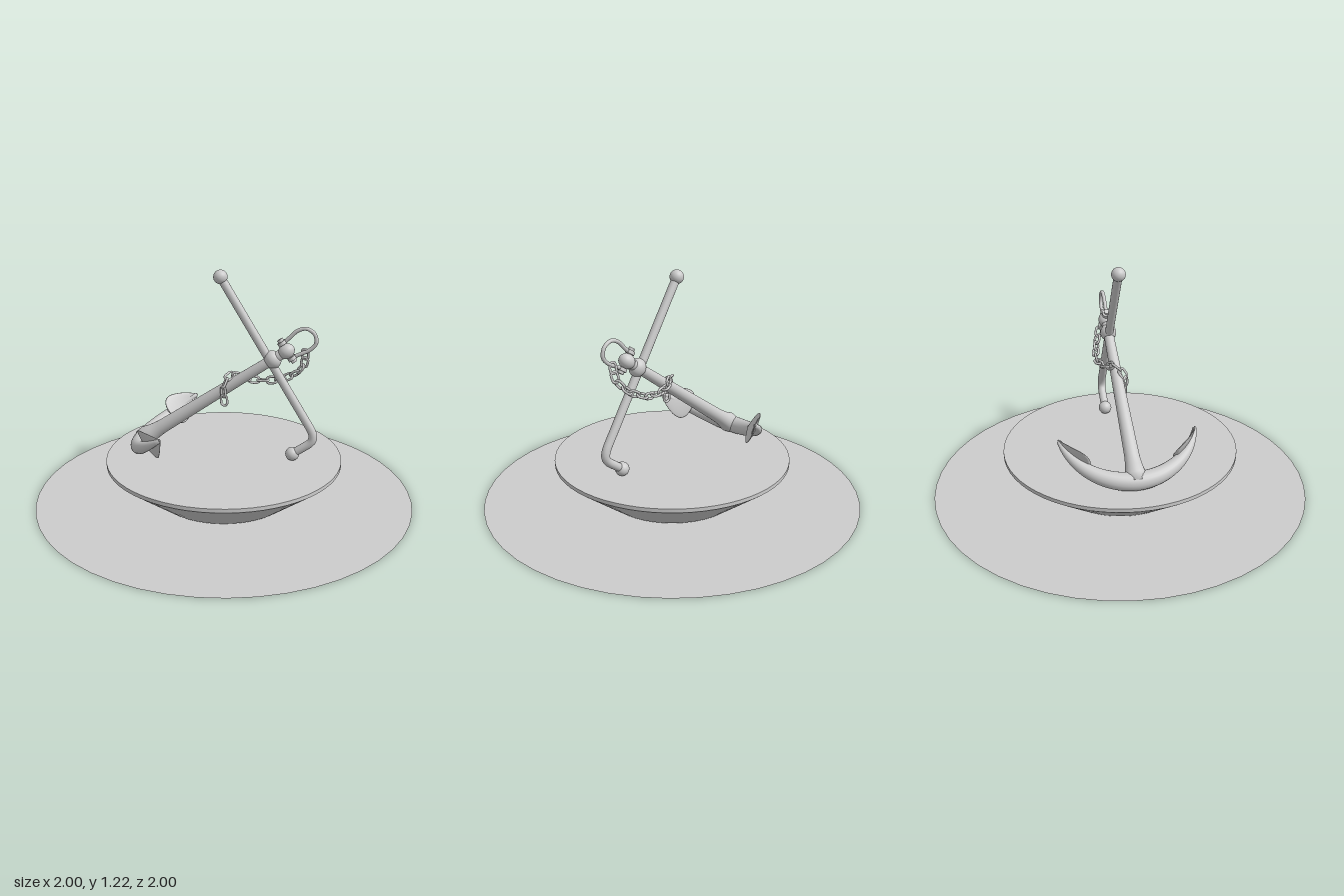
import * as THREE from 'three';

const material = new THREE.MeshStandardMaterial({ color: 0xcccccc, side: THREE.DoubleSide });
const v = (x, y, z = 0) => new THREE.Vector3(x, y, z);

function add(parent, name, geometry, x = 0, y = 0, z = 0) {
  const mesh = new THREE.Mesh(geometry, material);
  mesh.name = name;
  mesh.position.set(x, y, z);
  parent.add(mesh);
  return mesh;
}

// Skin elliptical sections { c, a, b } (centre and two half axes), closed at both ends
function loft(sections, sides = 20) {
  const pos = [], index = [];
  const closed = [
    { ...sections[0], a: v(0, 0), b: v(0, 0) },
    ...sections,
    { ...sections[sections.length - 1], a: v(0, 0), b: v(0, 0) },
  ];
  closed.forEach(({ c, a, b }, i) => {
    for (let j = 0; j < sides; j++) {
      const t = (j / sides) * Math.PI * 2;
      const p = c.clone().addScaledVector(a, Math.cos(t)).addScaledVector(b, Math.sin(t));
      pos.push(p.x, p.y, p.z);
      if (i === 0) continue;
      const k = (j + 1) % sides, r0 = (i - 1) * sides, r1 = i * sides;
      index.push(r0 + j, r0 + k, r1 + j, r0 + k, r1 + k, r1 + j);
    }
  });
  const g = new THREE.BufferGeometry();
  g.setAttribute('position', new THREE.Float32BufferAttribute(pos, 3));
  g.setIndex(index);
  g.computeVertexNormals();
  return g;
}

// A section on the circular sweep of the arms; x runs along the shank
const R = 0.366, TIP = 1.28;
function armSection(theta, thick, wide, inset = 0) {
  const s = Math.sin(theta), c = Math.cos(theta), r = R - inset;
  return { c: v(R - r * c, 0, r * s), a: v(-c * thick, 0, s * thick), b: v(0, -wide, 0) };
}

function buildArms(anchor) {
  const sections = [];
  for (let i = 0; i <= 40; i++) {
    const k = i / 20 - 1;
    const r = 0.047 - 0.036 * Math.pow(Math.abs(k), 1.7);
    sections.push(armSection(k * TIP * 0.98, r, r));
  }
  add(anchor, 'arms', loft(sections));

  // Spade-shaped flukes on the inner side of the arm ends
  const outline = new THREE.SplineCurve([[0, 0.02], [0.06, 0.062], [0.2, 0.086], [0.4, 0.084],
    [0.65, 0.06], [0.85, 0.03], [1, 0.003]].map(([x, y]) => new THREE.Vector2(x, y)));
  const rows = outline.getPoints(30).map(({ x, y }) =>
    armSection(0.7 + x * (TIP - 0.7), 0.004 + 0.007 * (1 - x), y, 0.032 * (1 - x)));
  for (const turn of [0, Math.PI]) {
    add(anchor, turn ? 'rightFluke' : 'leftFluke', loft(rows, 24)).rotation.x = turn;
  }
}

function buildShank(anchor) {
  const profile = [[0, -0.02], [0.05, -0.01], [0.055, 0.03], [0.044, 0.075], [0.038, 0.13],
    [0.034, 0.35], [0.027, 0.8], [0.027, 0.94], [0, 0.95]].map(([r, y]) => new THREE.Vector2(r, y));
  add(anchor, 'shank', new THREE.LatheGeometry(profile, 24)).rotation.z = -Math.PI / 2;
  add(anchor, 'stockBoss', new THREE.SphereGeometry(0.043, 24, 16), 0.866, 0).scale.set(1, 1.1, 1);
  add(anchor, 'shankEye', new THREE.SphereGeometry(0.042, 24, 16), 0.95, 0).scale.set(1.05, 0.9, 0.95);
}

function buildStock(anchor) {
  const path = new THREE.CurvePath();
  path.add(new THREE.LineCurve3(v(0.88, 0.492), v(0.825, -0.405)));
  path.add(new THREE.CubicBezierCurve3(v(0.825, -0.405), v(0.82, -0.475), v(0.79, -0.48), v(0.745, -0.48)));
  path.add(new THREE.LineCurve3(v(0.745, -0.48), v(0.665, -0.481)));
  add(anchor, 'stock', new THREE.TubeGeometry(path, 90, 0.022, 16));
  add(anchor, 'stockUpperBall', new THREE.SphereGeometry(0.036, 24, 16), 0.88, 0.492);
  add(anchor, 'stockLowerBall', new THREE.SphereGeometry(0.036, 24, 16), 0.665, -0.481);
}

function buildShackle(anchor) {
  const x = 0.955;
  const bow = new THREE.CatmullRomCurve3([v(x, 0.042), v(x + 0.05, 0.05), v(x + 0.1, 0.058),
    v(x + 0.145, 0.044), v(x + 0.165, 0), v(x + 0.145, -0.044), v(x + 0.1, -0.056),
    v(x + 0.05, -0.05), v(x, -0.042)]);
  add(anchor, 'shackleBow', new THREE.TubeGeometry(bow, 60, 0.01, 12));
  add(anchor, 'shacklePin', new THREE.CylinderGeometry(0.013, 0.013, 0.13, 16), x, 0);
  for (const side of [1, -1]) {
    add(anchor, 'shackleLug', new THREE.CylinderGeometry(0.024, 0.024, 0.018, 20), x, side * 0.046);
    add(anchor, 'pinHead', new THREE.CylinderGeometry(0.016, 0.016, 0.014, 6), x, side * 0.062);
  }
}

// Chain of alternating links hung from the shackle, laid over the shank
function buildChain(parent) {
  const chain = new THREE.Group();
  chain.name = 'chain';
  parent.add(chain);
  const path = new THREE.CatmullRomCurve3([v(0.35, 0.83, -0.225), v(0.335, 0.75, -0.235),
    v(0.27, 0.68, -0.228), v(0.16, 0.635, -0.19), v(0.06, 0.64, -0.105), v(0.02, 0.667, -0.035),
    v(0.018, 0.62, 0.018), v(0.025, 0.52, 0.022)]);
  const count = Math.round(path.getLength() / 0.046);
  const loop = [];
  for (let i = 0; i < 16; i++) {
    const t = (i / 16) * Math.PI * 2;
    loop.push(v(Math.cos(t) * 0.017, Math.sin(t) * 0.017 + Math.sign(Math.round(Math.sin(t) * 100)) * 0.011));
  }
  const link = new THREE.TubeGeometry(new THREE.CatmullRomCurve3(loop, true), 32, 0.0065, 8, true);
  for (let i = 0; i < count; i++) {
    const u = (i + 0.5) / count, p = path.getPointAt(u);
    const mesh = add(chain, 'chainLink', link, p.x, p.y, p.z);
    mesh.quaternion.setFromUnitVectors(v(0, 1), path.getTangentAt(u));
    mesh.rotateY(Math.PI / 4 + (i % 2) * Math.PI / 2);
  }
}

export function createModel() {
  const model = new THREE.Group();
  model.name = 'anchorOnPedestal';

  // Ground disc and tapered pedestal
  add(model, 'groundDisc', new THREE.CircleGeometry(1, 48)).rotation.x = -Math.PI / 2;
  add(model, 'pedestalTaper', new THREE.CylinderGeometry(0.622, 0.37, 0.195, 64), 0, 0.1075);
  add(model, 'pedestalRim', new THREE.CylinderGeometry(0.622, 0.622, 0.02, 64), 0, 0.215);

  // Anchor frame: x along the shank, y along the stock, z along the arms
  const anchor = new THREE.Group();
  anchor.name = 'anchor';
  anchor.rotation.set(0, 0.535, 0.615);
  anchor.position.set(-0.398, 0.27, 0.222);
  model.add(anchor);
  buildArms(anchor);
  buildShank(anchor);
  buildStock(anchor);
  buildShackle(anchor);
  buildChain(model);
  return model;
}
